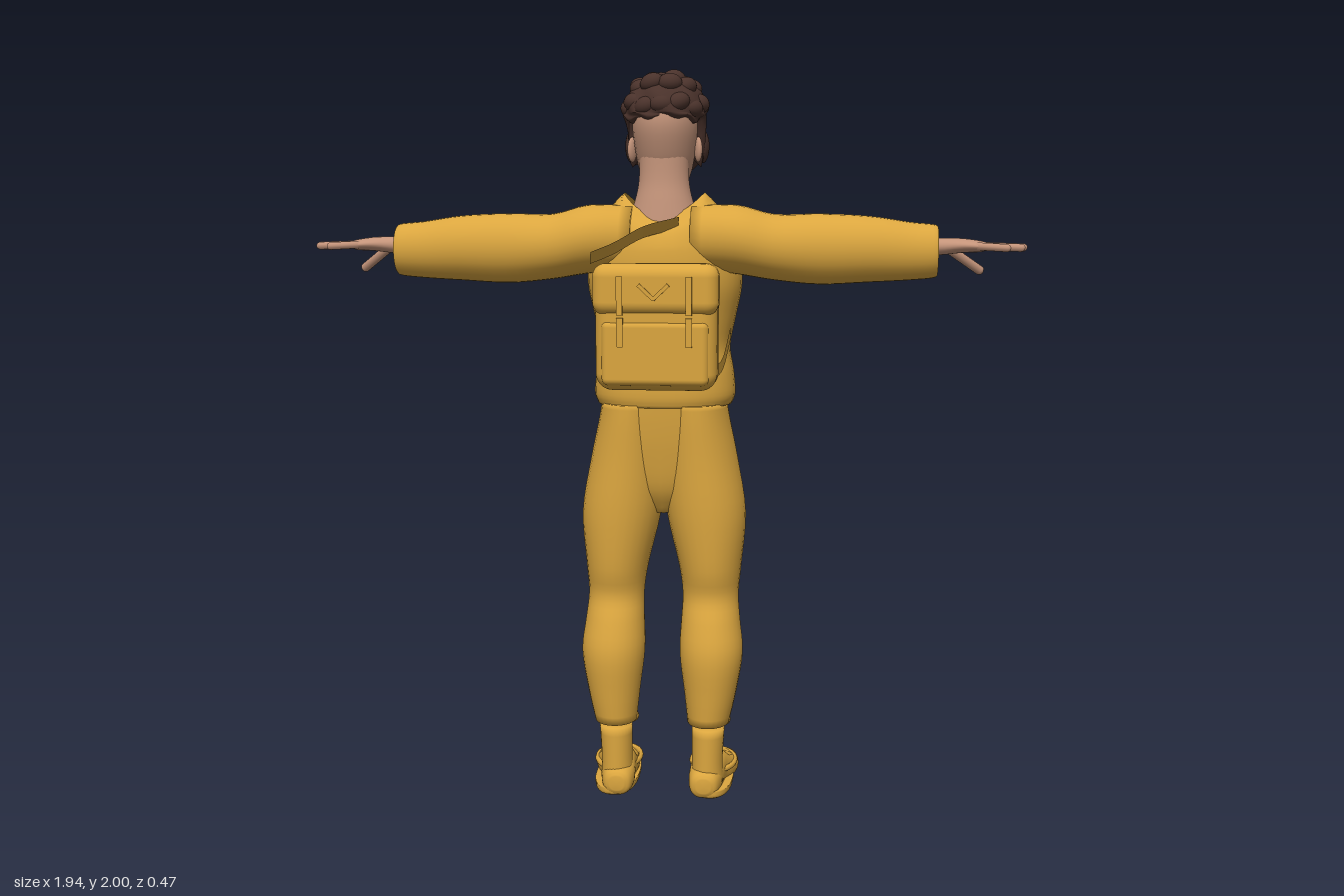
import * as THREE from 'three';
import { RoundedBoxGeometry } from 'three/addons/geometries/RoundedBoxGeometry.js';

const V = (x, y, z) => new THREE.Vector3(x, y, z);

// Where a cross-section point (u, v) at distance a goes, for each loft axis
const PLACE = {
  x: (a, u, v) => V(a, v, u),
  y: (a, u, v) => V(u, a, v),
  z: (a, u, v) => V(v, u, a),
};

// Smooth skin over oval sections [a, centreU, centreV, radiusU, radiusV]
function loft(axis, sections, { n = 2, steps = 4, seg = 28, capEnd = true, rule = null } = {}) {
  const mid = new THREE.CatmullRomCurve3(sections.map(s => V(s[0], s[1], s[2])), false, 'catmullrom');
  const rad = new THREE.CatmullRomCurve3(sections.map(s => V(s[3], s[4], 0)), false, 'catmullrom');
  const rows = (sections.length - 1) * steps;
  const pos = [], idx = [];
  const put = (a, u, v) => {
    const p = PLACE[axis](a, u, v);
    if (rule) rule(p);
    pos.push(p.x, p.y, p.z);
  };
  const pw = w => Math.sign(w) * Math.abs(w) ** (2 / n);
  for (let i = 0; i <= rows; i++) {
    const c = mid.getPoint(i / rows), r = rad.getPoint(i / rows);
    for (let j = 0; j < seg; j++) {
      const t = j / seg * Math.PI * 2;
      put(c.x, c.y + r.x * pw(Math.cos(t)), c.z + r.y * pw(Math.sin(t)));
    }
  }
  for (let i = 0; i < rows; i++) for (let j = 0; j < seg; j++) {
    const a = i * seg + j, b = i * seg + (j + 1) % seg;
    idx.push(a, a + seg, b, b, a + seg, b + seg);
  }
  const first = sections[0], last = sections[sections.length - 1], base = rows * seg;
  put(first[0], first[1], first[2]);
  put(last[0], last[1], last[2]);
  const k = base + seg;
  for (let j = 0; j < seg; j++) {
    const m = (j + 1) % seg;
    idx.push(k, j, m);
    if (capEnd) idx.push(k + 1, base + m, base + j);
  }
  return finish(pos, idx);
}

function finish(pos, idx) {
  const g = new THREE.BufferGeometry();
  g.setAttribute('position', new THREE.Float32BufferAttribute(pos, 3));
  g.setIndex(idx);
  g.computeVertexNormals();
  return g;
}

function mirrored(geo) {
  const g = geo.clone().scale(-1, 1, 1), ix = g.index;
  for (let i = 0; i < ix.count; i += 3) {
    const b = ix.getX(i + 1);
    ix.setX(i + 1, ix.getX(i + 2));
    ix.setX(i + 2, b);
  }
  return g;
}

// Rounded stick between two points
function stick(a, b, r) {
  const d = b.clone().sub(a), g = new THREE.CapsuleGeometry(r, d.length(), 5, 10);
  g.applyQuaternion(new THREE.Quaternion().setFromUnitVectors(V(0, 1, 0), d.normalize()));
  return g.translate((a.x + b.x) / 2, (a.y + b.y) / 2, (a.z + b.z) / 2);
}

const ball = (x, y, z, rx, ry, rz) => new THREE.SphereGeometry(1, 18, 12).scale(rx, ry, rz).translate(x, y, z);

// Flat band along a curve
function ribbon(points, side) {
  const pts = new THREE.CatmullRomCurve3(points).getPoints(16), pos = [], idx = [];
  pts.forEach((p, i) => {
    pos.push(p.x + side.x, p.y + side.y, p.z + side.z, p.x - side.x, p.y - side.y, p.z - side.z);
    if (i) idx.push(2 * i - 2, 2 * i - 1, 2 * i, 2 * i, 2 * i - 1, 2 * i + 1);
  });
  return finish(pos, idx);
}

// Hair mass: a ball whose lower half hangs as a fringe in front and stops high at the nape
function hairShell() {
  const g = new THREE.SphereGeometry(1, 56, 30), p = g.attributes.position;
  for (let i = 0; i < p.count; i++) {
    const x = p.getX(i), t = p.getY(i), z = p.getZ(i), d = Math.hypot(x, z);
    if (t < -0.99) { p.setXYZ(i, 0, 1.84, -0.06); continue; }
    const dx = d > 1e-4 ? x / d : 0, dz = d > 1e-4 ? z / d : 0, ang = Math.atan2(dx, dz);
    const bottom = 1.865 - 0.125 * THREE.MathUtils.smoothstep(-dz, -0.2, 0.35) + 0.008 * Math.cos(9 * ang);
    const wave = 1 + 0.035 * Math.sin(7 * ang + 5 * t) * Math.min(1, d * 1.5);
    const r = (t > 0 ? Math.pow(d, 0.8) : 1 - 0.12 * t * t) * wave;
    const y = t > 0 ? 1.885 + t * 0.1 : 1.885 + t * (1.885 - bottom);
    p.setXYZ(i, dx * r * 0.112, y, -0.065 + dz * r * 0.122);
  }
  g.computeVertexNormals();
  return g;
}

export function createModel() {
  const model = new THREE.Group();
  const cloth = new THREE.MeshStandardMaterial({ color: 0xdba63f, side: THREE.DoubleSide });
  cloth.name = 'mustard cloth';
  const skin = new THREE.MeshStandardMaterial({ color: 0xc4947a });
  skin.name = 'skin';
  const hair = new THREE.MeshStandardMaterial({ color: 0x4a322b });
  hair.name = 'dark brown hair';

  const add = (name, geo, mat) => {
    const m = new THREE.Mesh(geo, mat);
    m.name = name;
    model.add(m);
    return m;
  };
  const pair = (name, geo, mat) => {
    add(name + 'Left', geo, mat);
    add(name + 'Right', mirrored(geo), mat);
  };

  // Sweater body, with the neckline dipping in front and behind
  add('sweaterBody', loft('y', [
    [1.10, 0, -0.065, 0.185, 0.15], [1.13, 0, -0.068, 0.195, 0.16], [1.19, 0, -0.072, 0.19, 0.162],
    [1.26, 0, -0.072, 0.18, 0.148], [1.34, 0, -0.07, 0.195, 0.153], [1.43, 0, -0.063, 0.212, 0.162],
    [1.52, 0, -0.055, 0.205, 0.153], [1.60, 0, -0.05, 0.175, 0.13], [1.645, 0, -0.055, 0.14, 0.108],
    [1.675, 0, -0.055, 0.11, 0.09],
  ], {
    n: 2.25, seg: 40, capEnd: false, rule: p => {
      const t = Math.max(0, (p.y - 1.52) / 0.155), s = Math.min(1, Math.abs(p.x) / 0.11);
      p.y -= 0.065 * t * (1 - s * s);
    },
  }), cloth);

  // Sleeves
  pair('sleeve', loft('x', [
    [0.08, 0, 1.555, 0.085, 0.085], [0.2, 0.008, 1.55, 0.1, 0.092], [0.3, 0.003, 1.53, 0.09, 0.088],
    [0.42, 0, 1.525, 0.085, 0.094], [0.55, 0, 1.525, 0.078, 0.088], [0.66, -0.007, 1.52, 0.066, 0.077],
    [0.73, -0.01, 1.52, 0.06, 0.069], [0.724, -0.01, 1.52, 0.045, 0.05],
  ]), cloth);

  // Hands
  pair('palm', loft('x', [
    [0.68, -0.005, 1.53, 0.03, 0.024], [0.75, -0.005, 1.533, 0.031, 0.022],
    [0.80, -0.01, 1.535, 0.046, 0.019], [0.845, -0.01, 1.533, 0.046, 0.015], [0.86, -0.01, 1.533, 0.036, 0.011],
  ]), skin);
  [[-0.045, 0.945, -0.068], [-0.02, 0.96, -0.032], [0.004, 0.95, 0.008], [0.026, 0.91, 0.042]].forEach(([z0, x1, z1], i) =>
    pair('finger' + (i + 1), stick(V(0.835, 1.534, z0), V(x1, 1.53, z1), 0.0105), skin));
  pair('thumb', stick(V(0.77, 1.522, -0.035), V(0.85, 1.468, -0.083), 0.013), skin);

  // Trousers
  add('trouserSeat', loft('y', [
    [0.80, 0, -0.04, 0.03, 0.05], [0.87, 0, -0.045, 0.12, 0.095], [0.97, 0, -0.048, 0.175, 0.118],
    [1.05, 0, -0.05, 0.178, 0.13], [1.115, 0, -0.05, 0.17, 0.135],
  ], { n: 2.3 }), cloth);
  pair('trouserLeg', loft('y', [
    [0.21, 0.13, 0.015, 0.058, 0.075], [0.30, 0.135, 0.014, 0.073, 0.085], [0.41, 0.137, 0.01, 0.088, 0.096],
    [0.50, 0.134, -0.006, 0.082, 0.09], [0.57, 0.132, -0.024, 0.078, 0.085], [0.65, 0.13, -0.032, 0.087, 0.107],
    [0.80, 0.118, -0.038, 0.11, 0.122], [0.95, 0.1, -0.047, 0.104, 0.131],
    [1.05, 0.09, -0.05, 0.093, 0.136], [1.105, 0.085, -0.05, 0.088, 0.136],
  ]), cloth);

  // Loose ankle bands, socks and shoes
  pair('ankleBand', new THREE.TorusGeometry(0.055, 0.007, 8, 28).rotateX(Math.PI / 2).scale(1, 1.2, 1.05).translate(0.13, 0.21, -0.003), cloth);
  pair('sock', loft('y', [
    [0.04, 0.128, 0.015, 0.045, 0.055], [0.1, 0.128, 0.018, 0.043, 0.052], [0.195, 0.13, 0.018, 0.046, 0.053],
  ]), cloth);
  pair('shoe', loft('z', [
    [-0.212, 0.035, 0.148, 0.012, 0.022], [-0.19, 0.035, 0.148, 0.028, 0.048], [-0.13, 0.036, 0.144, 0.036, 0.063],
    [-0.075, 0.045, 0.138, 0.047, 0.06], [-0.03, 0.058, 0.13, 0.062, 0.05], [0.03, 0.045, 0.124, 0.047, 0.047],
    [0.07, 0.04, 0.122, 0.037, 0.038], [0.083, 0.04, 0.122, 0.02, 0.02],
  ], { n: 2.4, rule: p => { p.y = Math.max(p.y, 0.004); } }), cloth);
  pair('sole', loft('y', [
    [0, 0.135, -0.065, 0.05, 0.13], [0.008, 0.135, -0.065, 0.06, 0.142], [0.026, 0.135, -0.065, 0.062, 0.144],
  ], { n: 2.5 }), cloth);
  pair('shoeRim', new THREE.TorusGeometry(0.062, 0.007, 8, 32).rotateX(Math.PI / 2).scale(1, 1.2, 1.5).translate(0.137, 0.058, -0.095), cloth);

  // Neck and head
  add('neck', loft('y', [
    [1.52, 0, -0.04, 0.13, 0.1], [1.59, 0, -0.035, 0.103, 0.085], [1.65, 0, -0.028, 0.08, 0.068],
    [1.71, 0, -0.03, 0.068, 0.06], [1.8, 0, -0.035, 0.067, 0.062],
  ]), skin);
  add('head', loft('y', [
    [1.662, 0, -0.115, 0.02, 0.025], [1.685, 0, -0.1, 0.048, 0.053], [1.73, 0, -0.077, 0.07, 0.085],
    [1.79, 0, -0.065, 0.082, 0.103], [1.86, 0, -0.058, 0.088, 0.112], [1.92, 0, -0.06, 0.075, 0.095],
    [1.96, 0, -0.06, 0.03, 0.04],
  ]), skin);
  add('nose', ball(0, 1.75, -0.168, 0.014, 0.02, 0.02), skin);
  add('lips', ball(0, 1.71, -0.149, 0.024, 0.008, 0.01), skin);
  pair('ear', ball(0, 0, 0, 0.01, 0.034, 0.02).rotateY(0.4).translate(0.09, 1.79, -0.06), skin);

  // Hair mass with rows of curls
  add('hair', hairShell(), hair);
  [[0.092, 1.905, 13], [0.07, 1.955, 9], [0.03, 1.968, 5]].forEach(([r, y, count], row) => {
    for (let i = 0; i < count; i++) {
      const a = (i + row * 0.4) / count * Math.PI * 2, lift = 0.008 * Math.sin(i * 2.4 + row);
      add('curl', ball(0, 0, 0, 0.034, 0.026, 0.03).rotateY(a).rotateZ(0.4 * Math.sin(i * 1.7))
        .translate(Math.sin(a) * r, y + lift, -0.065 + Math.cos(a) * r * 1.08), hair);
    }
  });
  pair('sideLock', ball(0.098, 1.80, -0.115, 0.018, 0.045, 0.035), hair);

  // Backpack: body, flap, seams, chevron and closing straps
  add('backpackBody', new RoundedBoxGeometry(0.32, 0.33, 0.135, 5, 0.045).translate(0.002, 1.325, 0.152), cloth);
  add('backpackFlap', new RoundedBoxGeometry(0.33, 0.135, 0.1, 4, 0.035).translate(0.002, 1.425, 0.182), cloth);
  add('backpackPocket', new RoundedBoxGeometry(0.28, 0.17, 0.04, 4, 0.018).translate(0.002, 1.26, 0.205), cloth);
  for (const s of [-1, 1]) {
    add('closingStrap', new THREE.BoxGeometry(0.016, 0.1, 0.008).translate(0.002 + s * 0.09, 1.41, 0.233), cloth);
    add('closingStrapEnd', new THREE.BoxGeometry(0.016, 0.075, 0.008).translate(0.002 + s * 0.09, 1.315, 0.226), cloth);
    add('chevron', new THREE.BoxGeometry(0.055, 0.01, 0.006).rotateZ(s * 0.75).translate(s * 0.019, 1.42, 0.234), cloth);
  }

  // Shoulder straps
  add('looseStrap', ribbon([V(-0.17, 1.505, 0.185), V(-0.11, 1.53, 0.17), V(-0.04, 1.57, 0.13), V(0.05, 1.595, 0.075)], V(0.004, 0.016, 0.022)), cloth);
  pair('lowerStrap', ribbon([V(0.15, 1.2, 0.12), V(0.168, 1.22, 0.06), V(0.185, 1.3, 0)], V(0, 0.016, 0.008)), cloth);
  return model;
}
